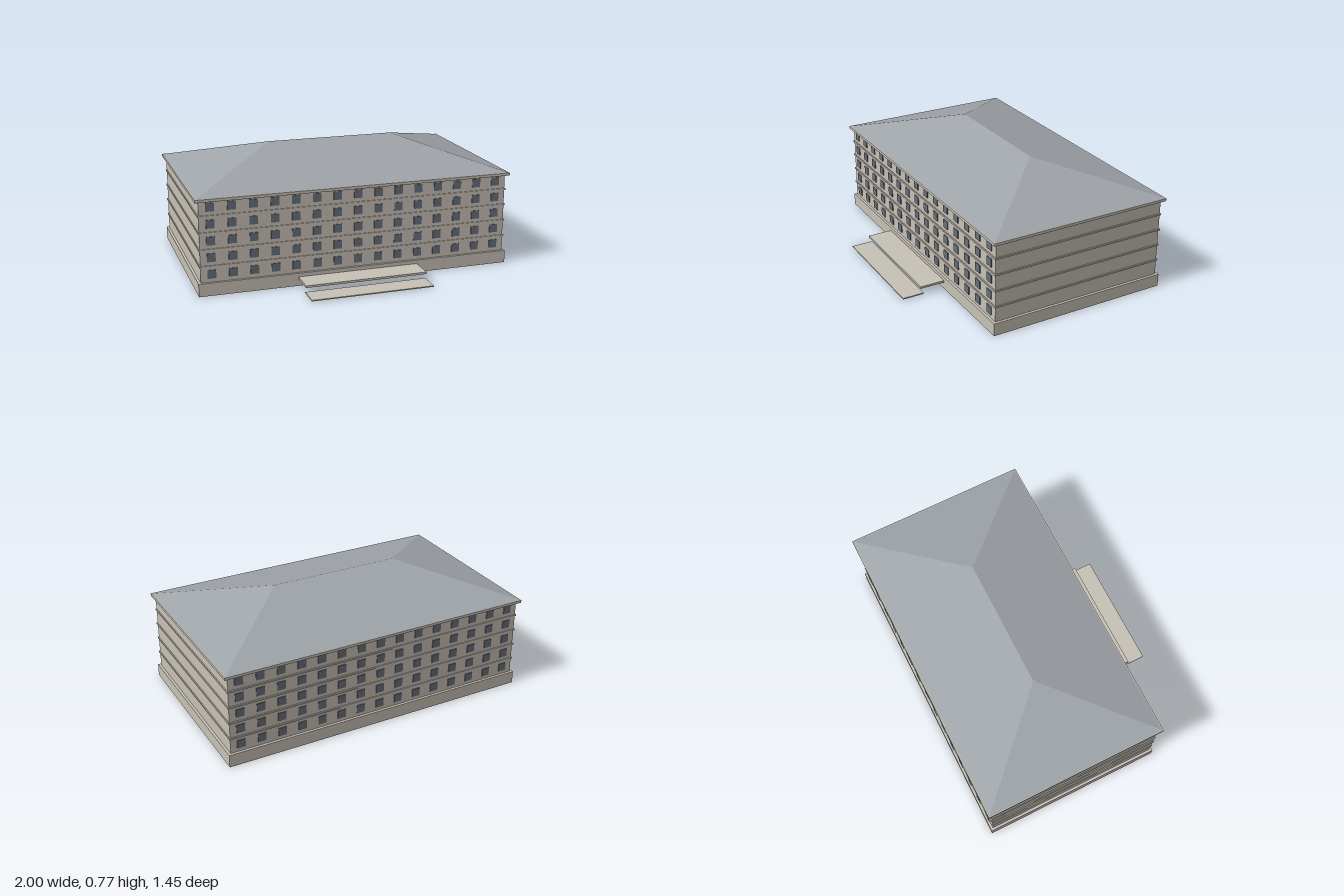
import * as THREE from 'three';

const CZ = -0.136; // depth centre of the building

export function createModel() {
  const group = new THREE.Group();
  const mat = (name, color) => {
    const m = new THREE.MeshStandardMaterial({ color });
    m.name = name;
    return m;
  };
  const stone = mat('stone', 0xc8c2b6);
  const slate = mat('slate', 0xa0a5aa);
  const glass = mat('glass', 0x667079);

  // Box from half width, y range and z range
  const box = (name, material, hx, y0, y1, z0, z1, x = 0) => {
    const mesh = new THREE.Mesh(new THREE.BoxGeometry(hx * 2, y1 - y0, z1 - z0), material);
    mesh.position.set(x, (y0 + y1) / 2, (z0 + z1) / 2);
    mesh.name = name;
    group.add(mesh);
  };
  const centred = (name, hx, hz, y0, y1) => box(name, stone, hx, y0, y1, CZ - hz, CZ + hz);

  // Main masses
  centred('plinth', 0.993, 0.582, 0, 0.08);
  centred('walls', 0.977, 0.566, 0.08, 0.578);
  centred('eaves', 1.0, 0.588, 0.578, 0.595);

  // String courses between floors
  for (const y of [0.179, 0.282, 0.385, 0.487]) centred('stringCourse', 0.983, 0.572, y - 0.005, y + 0.005);

  // Windows on front and back
  for (const side of [1, -1]) {
    const z = CZ + side * 0.568;
    for (let row = 0; row < 5; row++) {
      const y = 0.13 + row * 0.103;
      for (let col = -7; col <= 7; col++) {
        box('window', glass, 0.026, y - 0.026, y + 0.026, z - 0.003, z + 0.003, col * 0.13);
      }
    }
  }

  // Hipped roof: a box whose top is drawn in to a ridge
  const roof = new THREE.BoxGeometry(1.99, 0.175, 1.164);
  const p = roof.attributes.position;
  for (let i = 0; i < p.count; i++) {
    if (p.getY(i) > 0) {
      p.setX(i, Math.sign(p.getX(i)) * 0.412);
      p.setZ(i, 0);
    }
  }
  const flatRoof = roof.toNonIndexed();
  flatRoof.computeVertexNormals();
  // Zero-area ridge triangles are left out
  const kept = [];
  const q = flatRoof.attributes.position;
  for (let i = 0; i < q.count; i += 3) {
    const t = [0, 1, 2].map((k) => new THREE.Vector3().fromBufferAttribute(q, i + k));
    if (new THREE.Triangle(...t).getArea() > 1e-6) t.forEach((v) => kept.push(v.x, v.y, v.z));
  }
  const roofGeometry = new THREE.BufferGeometry();
  roofGeometry.setAttribute('position', new THREE.Float32BufferAttribute(kept, 3));
  roofGeometry.computeVertexNormals();
  const roofMesh = new THREE.Mesh(roofGeometry, slate);
  roofMesh.position.set(0, 0.595 + 0.0875, CZ);
  roofMesh.name = 'hippedRoof';
  group.add(roofMesh);

  // Entrance steps
  box('upperStep', stone, 0.384, 0.044, 0.057, 0.44, 0.605);
  box('lowerStep', stone, 0.384, 0.004, 0.011, 0.586, 0.724);

  return group;
}
